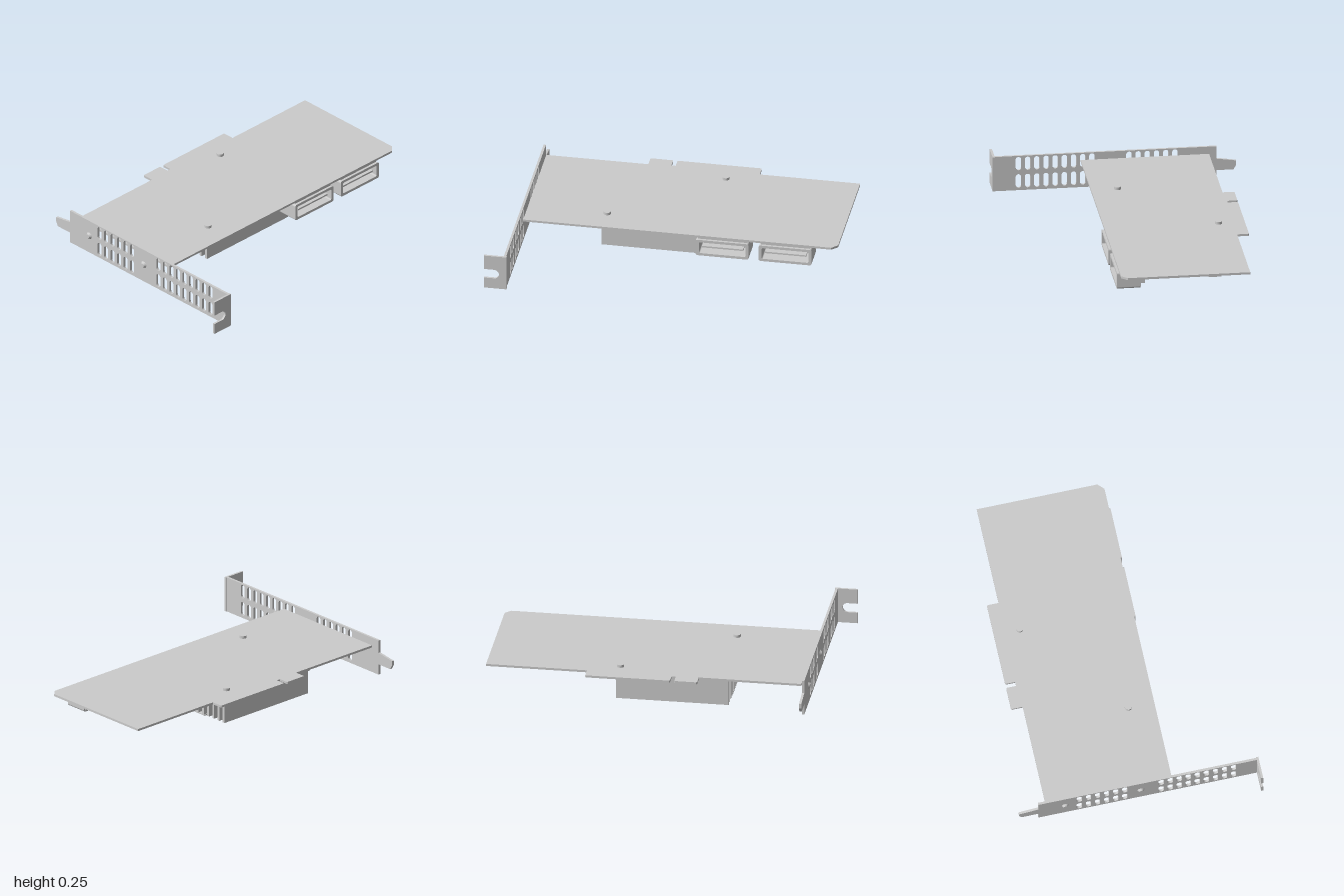
import * as THREE from 'three';

const material = new THREE.MeshStandardMaterial({ color: 0xcccccc, flatShading: true });

export function createModel() {
  const root = new THREE.Group();

  const add = (name, geometry, x = 0, y = 0, z = 0, parent = root) => {
    const mesh = new THREE.Mesh(geometry, material);
    mesh.name = name;
    mesh.position.set(x, y, z);
    parent.add(mesh);
    return mesh;
  };
  // box given by its limits on each axis
  const box = (name, x0, x1, y0, y1, z0, z1, parent) =>
    add(name, new THREE.BoxGeometry(x1 - x0, y1 - y0, z1 - z0),
      (x0 + x1) / 2, (y0 + y1) / 2, (z0 + z1) / 2, parent);
  const group = (name) => {
    const g = new THREE.Group();
    g.name = name;
    root.add(g);
    return g;
  };
  const polygon = (points) => new THREE.Shape(points.map(([x, y]) => new THREE.Vector2(x, y)));
  const extrude = (shape, depth) =>
    new THREE.ExtrudeGeometry(shape, { depth, bevelEnabled: false, curveSegments: 8 });
  const rounded = (target, x0, x1, y0, y1, r) => {
    target.moveTo(x0 + r, y0).lineTo(x1 - r, y0);
    target.absarc(x1 - r, y0 + r, r, -Math.PI / 2, 0);
    target.absarc(x1 - r, y1 - r, r, 0, Math.PI / 2);
    target.absarc(x0 + r, y1 - r, r, Math.PI / 2, Math.PI);
    target.absarc(x0 + r, y0 + r, r, Math.PI, Math.PI * 1.5);
    return target;
  };

  // circuit board with keyed edge connector and clipped corner
  const under = 0.196, top = 0.209;
  const outline = polygon([
    [-0.86, -0.555], [-0.255, -0.555], [-0.255, -0.62], [-0.25, -0.625], [-0.125, -0.625],
    [-0.12, -0.62], [-0.12, -0.565], [-0.095, -0.565], [-0.095, -0.62], [-0.09, -0.625],
    [0.4, -0.625], [0.405, -0.62], [0.405, -0.555], [1, -0.555], [1, 0.165], [0.965, 0.2], [-0.86, 0.2],
  ]);
  add('circuitBoard', extrude(outline, top - under).rotateX(Math.PI / 2), 0, top, 0);

  // bracket plate with tongue and two rows of slots
  const plate = polygon([
    [0.715, 0.035], [0.715, 0.25], [-0.6, 0.25], [-0.6, 0.172], [-0.715, 0.155],
    [-0.715, 0.127], [-0.7, 0.1], [-0.6, 0.1], [-0.6, 0.035],
  ]);
  for (const [first, count] of [[0.565, 9], [-0.085, 6]]) {
    for (let i = 0; i < count; i++) {
      const z = first - i * 0.054;
      for (const [y0, y1] of [[0.05, 0.135], [0.16, 0.243]]) {
        plate.holes.push(rounded(new THREE.Path(), z - 0.016, z + 0.016, y0, y1, 0.0155));
      }
    }
  }
  const bracket = group('bracket');
  add('bracketPlate', extrude(plate, 0.014).rotateY(-Math.PI / 2), -0.87, 0, 0, bracket);

  // bent flange with open screw notch
  const flange = polygon([[-1, 0.035], [-0.866, 0.035], [-0.866, 0.25], [-1, 0.25], [-1, 0.16], [-0.94, 0.16]]);
  flange.absarc(-0.94, 0.131, 0.029, Math.PI / 2, -Math.PI / 2, true);
  flange.lineTo(-1, 0.102);
  add('bracketFlange', extrude(flange, 0.013), 0, 0, 0.704, bracket);

  // bracket rivets
  for (const z of [-0.44, 0.012]) {
    const head = new THREE.CylinderGeometry(0.012, 0.021, 0.012, 20).rotateZ(Math.PI / 2);
    add('bracketRivet', head, -0.89, 0.15, z, bracket);
  }

  // heatsink: base, fins along x, plate closing the middle fins
  const heatsink = group('heatsink');
  box('heatsinkBase', -0.42, 0.245, 0.155, 0.173, -0.493, 0.07, heatsink);
  for (let i = 0; i < 13; i++) {
    const z = 0.058 - i * 0.0443;
    box('heatsinkFin', -0.42, 0.245, 0.01, 0.155, z - 0.008, z + 0.008, heatsink);
  }
  box('heatsinkLabelPlate', -0.42, 0.245, 0.003, 0.01, -0.311, -0.106, heatsink);
  box('processorLid', -0.17, -0.005, 0.173, 0.186, -0.29, -0.125, heatsink);
  box('processor', -0.195, 0.02, 0.186, under, -0.315, -0.1, heatsink);

  // pins holding the heatsink, heads above the board
  for (const [x, z] of [[-0.39, 0.045], [0.22, -0.47]]) {
    add('pinHead', new THREE.CylinderGeometry(0.021, 0.021, 0.016, 24), x, 0.217, z, heatsink);
    add('pinShaft', new THREE.CylinderGeometry(0.01, 0.01, 0.06, 16), x, 0.18, z, heatsink);
  }

  // two network ports on the front edge
  for (const x of [0.32, 0.693]) {
    const port = group('port');
    port.position.x = x;
    const shell = rounded(new THREE.Shape(), -0.157, 0.157, 0.082, 0.186, 0.012);
    shell.holes.push(rounded(new THREE.Path(), -0.138, 0.138, 0.098, 0.17, 0.008));
    add('portShell', extrude(shell, 0.14), 0, 0, 0.07, port);
    box('portBack', -0.15, 0.15, 0.09, 0.18, 0.066, 0.085, port);
    box('portTongue', -0.122, 0.122, 0.129, 0.139, 0.085, 0.195, port);
    box('portRearHousing', -0.138, 0.138, 0.105, 0.165, 0.043, 0.066, port);
    box('portLatch', -0.035, 0.035, 0.075, 0.083, 0.147, 0.185, port);
    box('portMount', -0.145, 0.145, 0.184, under, 0.08, 0.195, port);
  }

  // parts on the underside
  const parts = group('boardComponents');
  for (let i = 0; i < 4; i++) {
    const x = 0.535 + i * 0.094;
    box('powerInductor', x, x + 0.078, 0.148, under, -0.4, -0.325, parts);
  }
  for (const [x, z] of [[0.334, -0.343], [0.387, 0.025], [0.843, 0.03]]) {
    box('chip', x - 0.045, x + 0.045, 0.185, under, z - 0.038, z + 0.038, parts);
  }
  for (let i = 0; i < 7; i++) {
    for (const z of [-0.19, -0.12]) {
      const x = 0.6 + i * 0.053;
      box('capacitor', x - 0.012, x + 0.012, 0.186, under, z - 0.008, z + 0.008, parts);
    }
  }
  for (let i = 0; i < 9; i++) {
    const x = -0.23 + i * 0.075;
    box('edgeCapacitor', x - 0.008, x + 0.008, 0.188, under, -0.54, -0.525, parts);
  }
  add('roundCapacitor', new THREE.CylinderGeometry(0.02, 0.02, 0.02, 20), -0.495, 0.186, -0.395, parts);

  return root;
}
